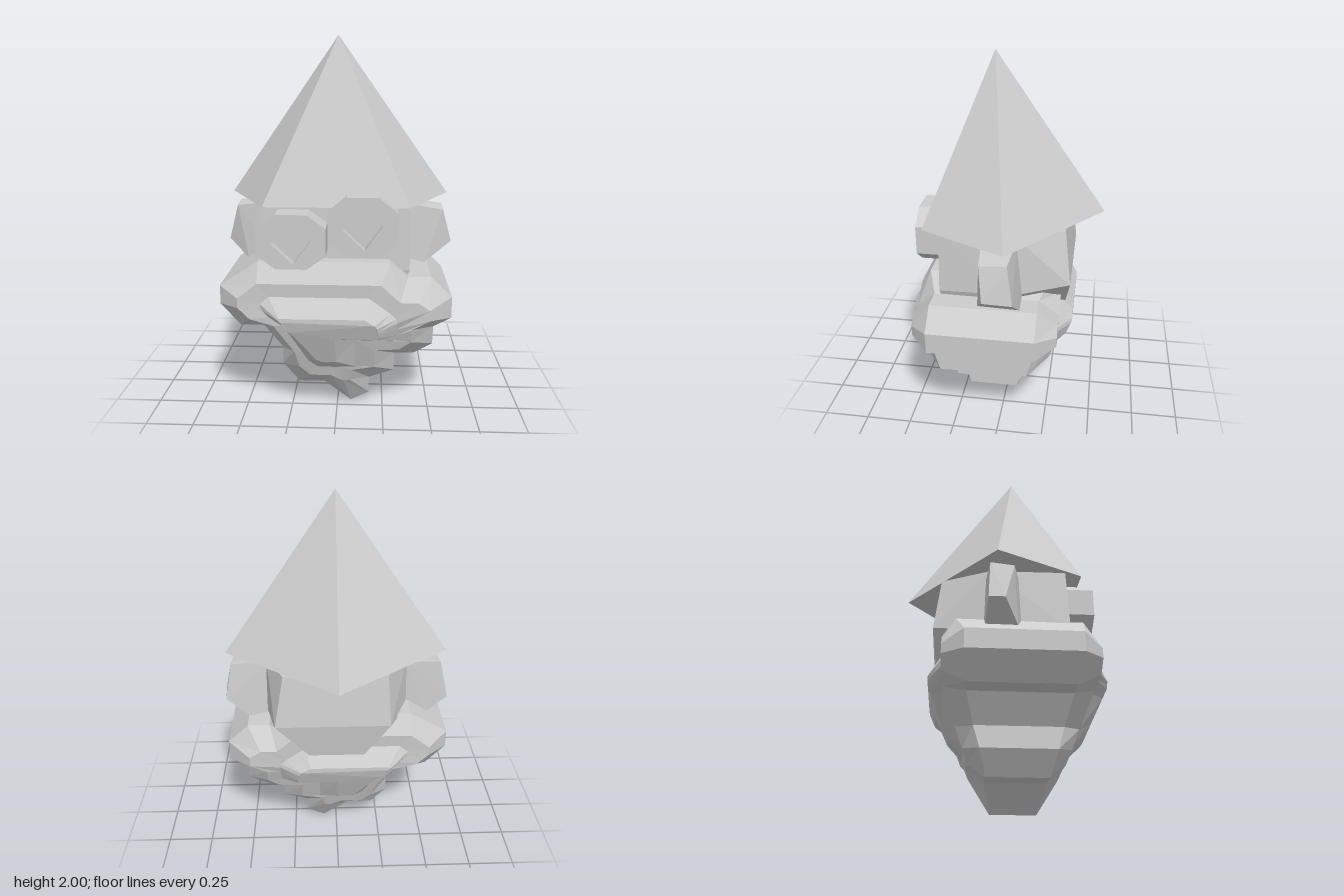
import * as THREE from 'three';
import { ConvexGeometry } from 'three/addons/geometries/ConvexGeometry.js';

const grey = new THREE.MeshStandardMaterial({ color: 0xcccccc, flatShading: true });
grey.name = 'stone grey';

function add(group, name, geometry) {
  const mesh = new THREE.Mesh(geometry, grey);
  mesh.name = name;
  group.add(mesh);
  return mesh;
}

const hull = (points) => new ConvexGeometry(points.map((p) => new THREE.Vector3(...p)));

// Beard contours, clockwise from the top left: outer edge, ridge, groove, inner moustache lip
const outer = [
  [-.4, .87], [.275, .87], [.37, .785], [.49, .785], [.6, .68], [.6, .565], [.51, .51], [.51, .4],
  [.41, .335], [.31, .335], [.31, .22], [.175, .165], [.175, .06], [.075, 0], [-.07, .13],
  [-.21, .13], [-.295, .25], [-.29, .36], [-.385, .5], [-.51, .5], [-.61, .625], [-.61, .725],
];
const ridge = [
  [-.4, .77], [.23, .77], [.33, .68], [.42, .68], [.48, .64], [.48, .585], [.39, .53], [.39, .45],
  [.33, .4], [.2, .39], [.2, .275], [.08, .25], [.07, .18], [.04, .17], [-.03, .21],
  [-.14, .21], [-.2, .27], [-.22, .37], [-.32, .54], [-.44, .58], [-.5, .64], [-.5, .69],
];
const groove = [
  [-.34, .7], [.17, .7], [.28, .62], [.31, .59], [.315, .57], [.315, .53], [.313, .49], [.31, .46],
  [.25, .455], [.1, .455], [.1, .275], [.06, .272], [.03, .27], [0, .268], [-.04, .268],
  [-.1, .27], [-.15, .31], [-.18, .37], [-.27, .54], [-.34, .59], [-.38, .63], [-.385, .66],
];
const lip = [
  [-.28, .61], [.15, .61], [.2, .58], [.21, .56], [.215, .54], [.22, .52], [.22, .5], [.215, .49],
  [.17, .49], [0, .49], [0, .335], [-.02, .332], [-.04, .33], [-.06, .33], [-.08, .335],
  [-.1, .345], [-.12, .37], [-.15, .42], [-.23, .53], [-.26, .57], [-.275, .59], [-.285, .6],
];

// Terraced beard: contours stacked in depth, thinner towards the chin tip
function beardGeometry() {
  const middle = .07;
  const depth = (h, y) => h * Math.min(1, .43 + y);
  const layer = (loop, h, side) => loop.map(([x, y]) =>
    [x, y, middle + side * depth(h + (y > .8 ? .04 : 0), y)]);
  const steps = [[lip, .45], [groove, .38], [ridge, .385], [outer, .28]];
  const layers = [
    ...steps.map(([loop, h]) => layer(loop, h, 1)),
    ...steps.slice().reverse().map(([loop, h]) => layer(loop, h, -1)),
  ];
  const pos = [];
  const tri = (a, b, c) => pos.push(...a, ...b, ...c);
  const n = outer.length;
  for (let k = 0; k < layers.length - 1; k++) {
    const f = layers[k], b = layers[k + 1];
    for (let i = 0; i < n; i++) {
      const j = (i + 1) % n;
      tri(f[i], f[j], b[i]);
      tri(f[j], b[j], b[i]);
    }
  }
  // Front and back caps
  const front = layers[0], back = layers[layers.length - 1];
  const flat = lip.map(([x, y]) => new THREE.Vector2(x, y));
  for (const [a, b, c] of THREE.ShapeUtils.triangulateShape(flat, [])) {
    const ccw = THREE.ShapeUtils.area([flat[a], flat[b], flat[c]]) > 0;
    const [p, q] = ccw ? [b, c] : [c, b];
    tri(front[a], front[p], front[q]);
    tri(back[a], back[q], back[p]);
  }
  const geometry = new THREE.BufferGeometry();
  geometry.setAttribute('position', new THREE.Float32BufferAttribute(pos, 3));
  geometry.computeVertexNormals();
  return geometry;
}

// Octagonal eye block with a sunken diamond pupil
function addEye(group, name, x, y, halfHeight) {
  const w = .175, h = halfHeight;
  const toShape = (pts) => pts.map(([a, b]) => new THREE.Vector2(a, b));
  const rim = new THREE.Shape(toShape([
    [-w, -h * .5], [-w * .45, -h], [w * .45, -h], [w, -h * .5],
    [w, h * .5], [w * .45, h], [-w * .45, h], [-w, h * .5],
  ]));
  const diamond = toShape([[-.01, .115], [.1, .01], [.01, -.115], [-.1, -.01]]);
  rim.holes.push(new THREE.Path(diamond));
  const eye = new THREE.Group();
  eye.name = name;
  eye.position.set(x, y, .29);
  add(eye, 'eyeRim', new THREE.ExtrudeGeometry(rim, { depth: .16, bevelEnabled: false }));
  add(eye, 'pupil', new THREE.ExtrudeGeometry(new THREE.Shape(diamond), { depth: .11, bevelEnabled: false }));
  group.add(eye);
}

export function createModel() {
  const group = new THREE.Group();
  group.name = 'gnomeHead';

  // Five-sided pointed hat
  add(group, 'hat', hull([
    [0, 2, .07], [0, 1.155, -.52], [.6, 1.155, -.055], [.37, 1.155, .4],
    [-.37, 1.155, .4], [-.6, 1.155, -.055],
  ]));

  // Head block, narrowing sharply to the nape
  add(group, 'head', hull([
    [-.4, 1.154, .31], [.375, 1.154, .31], [-.39, 1.154, -.08], [.38, 1.154, -.08],
    [-.26, 1.154, -.33], [.28, 1.154, -.33],
    [-.43, .81, .32], [.38, .81, .32], [-.4, .82, -.08], [.39, .82, -.08],
    [-.28, .87, -.365], [.33, .87, -.365],
    [-.3, .6, .28], [.3, .6, .28], [-.12, .63, -.33], [.12, .63, -.33],
  ]));

  // Ears, mirrored with a slight twist
  add(group, 'leftEar', hull([
    [.36, 1.12, .09], [.36, 1.12, -.09], [.37, .82, .11], [.37, .82, -.12], [.47, .79, .1], [.48, .79, -.12],
    [.57, 1.08, .07], [.575, 1.09, -.07], [.62, .9, .05], [.61, .89, -.1],
  ]));
  add(group, 'rightEar', hull([
    [-.38, 1.11, .07], [-.38, 1.11, -.1], [-.39, .85, .08], [-.39, .85, -.11], [-.51, .79, .05], [-.5, .79, -.11],
    [-.565, 1.09, .03], [-.57, 1.1, -.09], [-.625, .885, -.02], [-.62, .885, -.1],
  ]));

  addEye(group, 'leftEye', .137, 1.063, .153);
  addEye(group, 'rightEye', -.222, .987, .14);
  add(group, 'beard', beardGeometry());
  return group;
}
